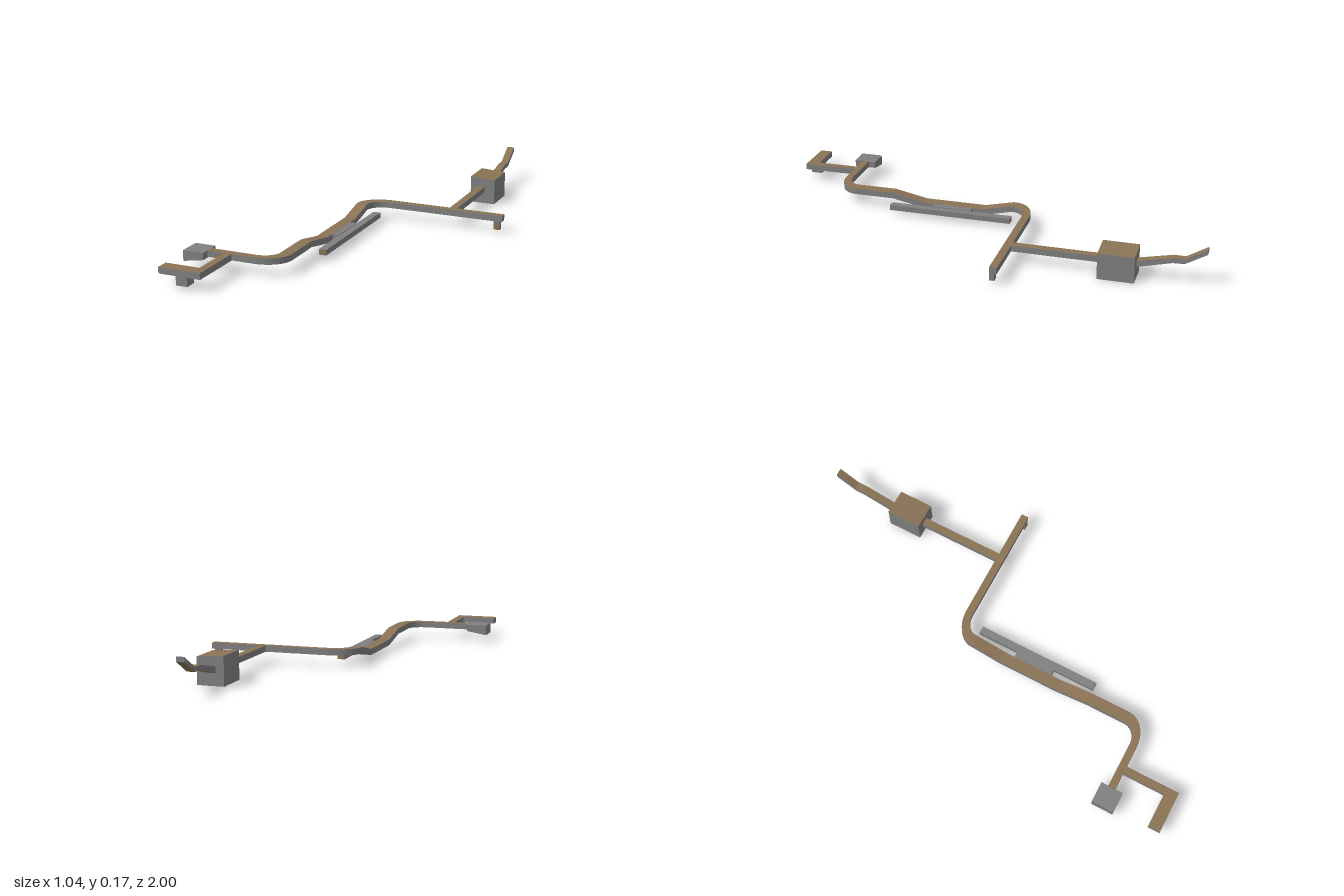
import * as THREE from 'three';

const grey = new THREE.MeshStandardMaterial({ color: 0x808080 });
grey.name = 'grey';
const brown = new THREE.MeshStandardMaterial({ color: 0x8b7355 });
brown.name = 'brown';

// Box from its limits; brownFaces picks which sides are brown (order +x -x +y -y +z -z)
function box(name, [x0, x1], [y0, y1], [z0, z1], brownFaces) {
  const geo = new THREE.BoxGeometry(x1 - x0, y1 - y0, z1 - z0);
  geo.translate((x0 + x1) / 2, (y0 + y1) / 2, (z0 + z1) / 2);
  const mats = [0, 1, 2, 3, 4, 5].map((i) => (brownFaces.includes(i) ? brown : grey));
  const mesh = new THREE.Mesh(geo, mats);
  mesh.name = name;
  return mesh;
}

// Move box corners vertically by a rule
function shear(mesh, rule) {
  const p = mesh.geometry.attributes.position;
  for (let i = 0; i < p.count; i++) p.setY(i, rule(p.getX(i), p.getY(i)));
  mesh.geometry.computeVertexNormals();
  return mesh;
}

// Bar swept through sections [leftX, leftZ, rightX, rightZ, bottomY, topY]; sides grey, top and bottom brown
function ribbon(name, sections) {
  const sides = [], faces = [];
  const quad = (out, a, b, c, d) => out.push(...a, ...b, ...c, ...a, ...c, ...d);
  const corners = sections.map(([lx, lz, rx, rz, y0, y1]) => ({
    lb: [lx, y0, lz], lt: [lx, y1, lz], rb: [rx, y0, rz], rt: [rx, y1, rz],
  }));
  for (let i = 0; i < corners.length - 1; i++) {
    const a = corners[i], b = corners[i + 1];
    quad(faces, a.lt, a.rt, b.rt, b.lt);
    quad(faces, a.lb, b.lb, b.rb, a.rb);
    quad(sides, a.lb, a.lt, b.lt, b.lb);
    quad(sides, a.rb, b.rb, b.rt, a.rt);
  }
  const s = corners[0], e = corners[corners.length - 1];
  quad(sides, s.lb, s.rb, s.rt, s.lt);
  quad(sides, e.lb, e.lt, e.rt, e.rb);
  const geo = new THREE.BufferGeometry();
  geo.setAttribute('position', new THREE.Float32BufferAttribute([...sides, ...faces], 3));
  geo.addGroup(0, sides.length / 3, 0);
  geo.addGroup(sides.length / 3, faces.length / 3, 1);
  geo.computeVertexNormals();
  const mesh = new THREE.Mesh(geo, [grey, brown]);
  mesh.name = name;
  return mesh;
}

export function createModel() {
  const model = new THREE.Group();
  model.name = 'bentRodAssembly';
  const Y0 = 0.053, Y1 = 0.08, STEPS = 10;

  // Main bar: cross arm, rear bend, long run with a dip, front bend, short arm
  const path = [[0.517, -0.152, 0.517, -0.185, Y0, Y1]];
  for (let i = 0; i <= STEPS; i++) {
    const t = (i / STEPS) * Math.PI / 2, s = Math.sin(t), c = Math.cos(t);
    path.push([-0.01 - 0.085 * s, -0.09 - 0.062 * c, -0.01 - 0.135 * s, -0.09 - 0.095 * c, Y0, Y1]);
  }
  for (const [z, drop] of [[-0.08, 0], [0.05, 0.03], [0.33, 0.03], [0.48, 0]]) {
    path.push([-0.095, z, -0.145, z, Y0 - drop, Y1 - drop]);
  }
  for (let i = 0; i <= STEPS; i++) {
    const t = (i / STEPS) * Math.PI / 2, s = Math.sin(t), c = Math.cos(t);
    path.push([-0.22 + 0.125 * c, 0.66 + 0.095 * s, -0.22 + 0.075 * c, 0.66 + 0.062 * s, Y0, Y1]);
  }
  path.push([-0.43, 0.755, -0.43, 0.722, Y0, Y1]);
  model.add(ribbon('mainBar', path));

  // Rear rod, bent upward at its tip
  const rod = [[-0.185, Y0, Y1], [-0.715, Y0, Y1], [-0.86, 0.09, 0.112], [-0.91, 0.092, 0.112], [-1, 0.145, 0.166]];
  model.add(ribbon('rearRod', rod.map(([z, y0, y1]) => [0.263, z, 0.297, z, y0, y1])));

  // Block around the rear rod, its top leaning slightly
  model.add(shear(
    box('rearBlock', [0.228, 0.345], [0, 0.12], [-0.715, -0.56], [2, 3]),
    (x, y) => (y > 0.06 ? (x < 0.28 ? 0.124 : 0.116) : 0),
  ));

  // Peg below the end of the cross arm
  model.add(box('crossArmPeg', [0.48, 0.508], [0.016, Y0], [-0.172, -0.15], [4, 5]));

  // Side rail and the bracket joining it to the dip
  model.add(box('sideRail', [-0.067, -0.034], [0.022, 0.046], [-0.09, 0.472], [4, 5]));
  model.add(box('railBracket', [-0.097, -0.065], [0.026, 0.049], [0.1, 0.282], []));

  // Pad at the end of the short arm, with a sloping underside
  model.add(shear(
    box('armPad', [-0.52, -0.427], [0.036, Y1], [0.69, 0.79], [3]),
    (x, y) => (y > 0.06 ? Y1 : x < -0.47 ? 0.034 : 0.05),
  ));

  // Front branch with its foot
  model.add(box('frontBranch', [-0.35, -0.316], [Y0, Y1], [0.75, 0.945], [2, 3]));
  model.add(box('frontBar', [-0.503, -0.316], [Y0, Y1], [0.945, 1], [2, 3]));
  model.add(box('frontFoot', [-0.425, -0.375], [0.015, Y0], [0.948, 1], [3]));

  return model;
}
